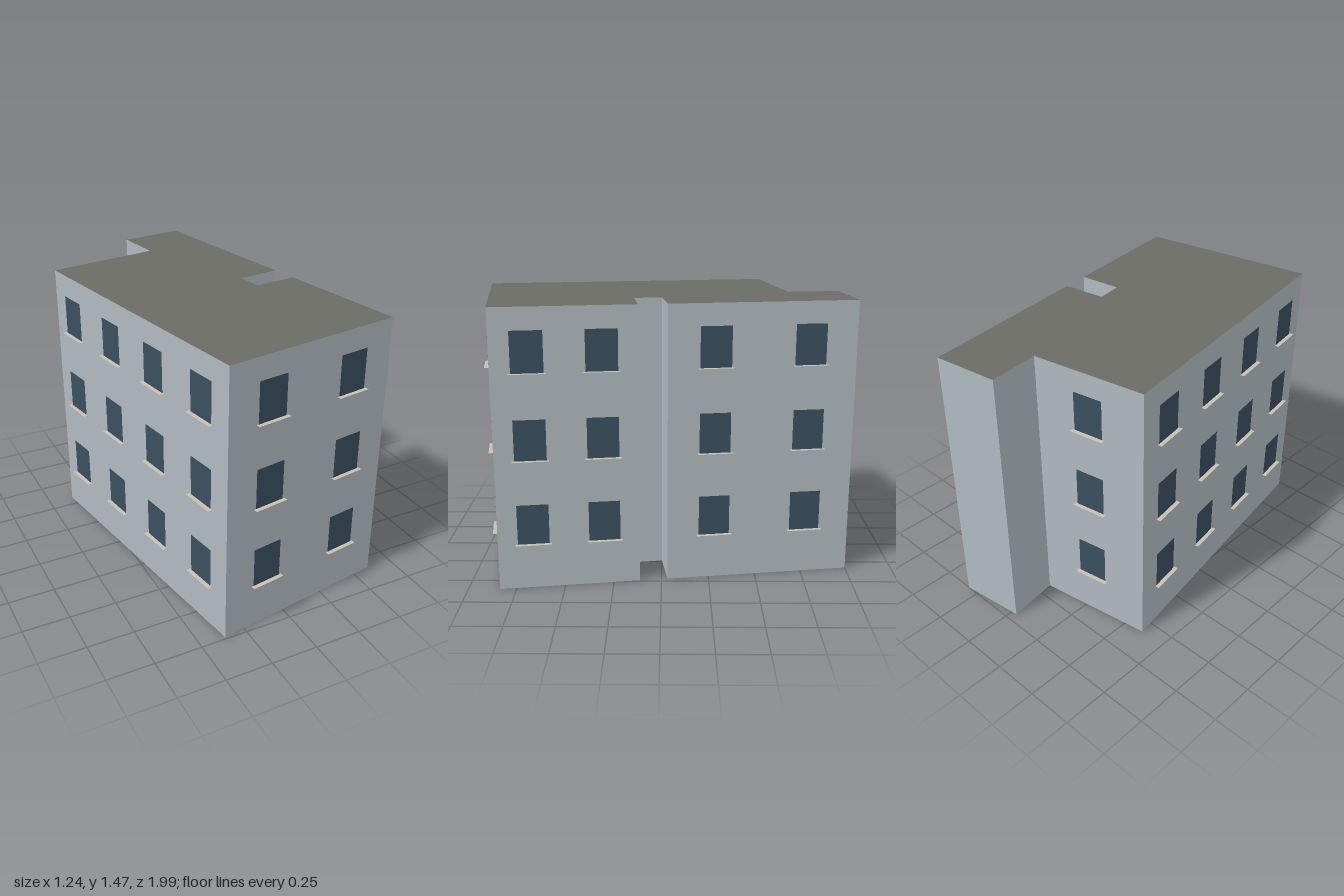
import * as THREE from 'three';

const HEIGHT = 1.465;
// Footprint corners [x, z], walking round from the front left corner
const PLAN = [
  [-0.365, 0.988], [0.602, 0.836], [0.491, 0.113], [0.26, 0.142], [0.237, 0],
  [0.47, -0.032], [0.322, -1], [-0.03, -0.953], [0.005, -0.677], [-0.61, -0.575],
];
// Number of window columns on each wall, by the index of its first corner
const COLUMNS = { 0: 2, 1: 2, 5: 2, 8: 1, 9: 4 };
const FLOORS = [0.245, 0.692, 1.139]; // window bottoms
const WIN_W = 0.162, WIN_H = 0.212, GAP = 0.008;
const SILL_W = 0.185, SILL_D = 0.022;

export function createModel() {
  const building = new THREE.Group();
  building.name = 'building';
  const mat = (color, side = THREE.FrontSide) => new THREE.MeshStandardMaterial({ color, side });
  const wallMat = mat(0xb0bac0);
  const roofMat = mat(0x6b6c65);
  const glassMat = mat(0x3a4f5f, THREE.DoubleSide);
  const sillMat = mat(0xc8c0b2, THREE.DoubleSide);

  // Walls with flat roof and floor
  const shape = new THREE.Shape(PLAN.map(([x, z]) => new THREE.Vector2(x, -z)));
  const bodyGeo = new THREE.ExtrudeGeometry(shape, { depth: HEIGHT, bevelEnabled: false });
  bodyGeo.rotateX(-Math.PI / 2);
  const body = new THREE.Mesh(bodyGeo, [roofMat, wallMat]);
  body.name = 'wallsAndRoof';
  building.add(body);

  // Window pane standing just off the wall, with a thin ledge at its foot
  const paneGeo = new THREE.PlaneGeometry(WIN_W, WIN_H).translate(0, WIN_H / 2, GAP);
  const sillGeo = new THREE.PlaneGeometry(SILL_W, SILL_D)
    .rotateX(-Math.PI / 2).translate(0, 0, GAP + SILL_D / 2);

  function makeWindow() {
    const win = new THREE.Group();
    win.name = 'window';
    const pane = new THREE.Mesh(paneGeo, glassMat);
    pane.name = 'windowPane';
    const sill = new THREE.Mesh(sillGeo, sillMat);
    sill.name = 'windowSill';
    win.add(pane, sill);
    return win;
  }

  // Evenly spaced window columns along each wall, on every floor
  for (const [key, count] of Object.entries(COLUMNS)) {
    const i = Number(key);
    const [x0, z0] = PLAN[i];
    const [x1, z1] = PLAN[(i + 1) % PLAN.length];
    const facing = Math.atan2(-(z1 - z0), x1 - x0);
    for (let c = 0; c < count; c++) {
      const t = (c + 0.5) / count;
      for (const y of FLOORS) {
        const win = makeWindow();
        win.position.set(x0 + (x1 - x0) * t, y, z0 + (z1 - z0) * t);
        win.rotation.y = facing;
        building.add(win);
      }
    }
  }
  return building;
}
